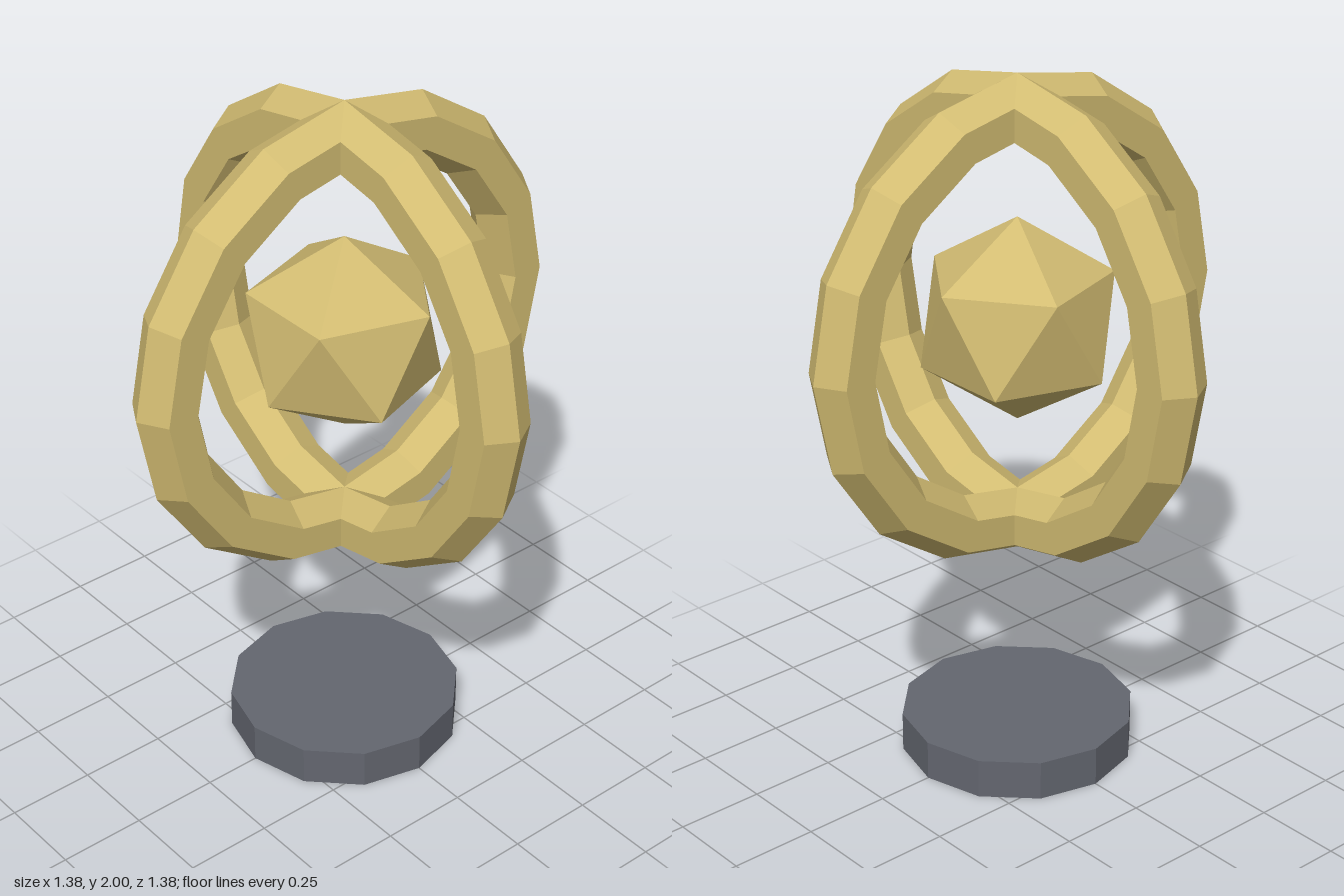
import * as THREE from 'three';

const CENTER_Y = 1.311;

export function createModel() {
  const gold = new THREE.MeshStandardMaterial({ color: 0xd2bc72 });
  gold.name = 'gold';
  const slate = new THREE.MeshStandardMaterial({ color: 0x63666f });
  slate.name = 'slate grey';

  const model = new THREE.Group();
  model.name = 'floatingOrb';

  const add = (name, geometry, material, y) => {
    // Unshared vertices give each facet its own flat normal
    const flat = geometry.index ? geometry.toNonIndexed() : geometry;
    flat.computeVertexNormals();
    const mesh = new THREE.Mesh(flat, material);
    mesh.name = name;
    mesh.position.y = y;
    model.add(mesh);
    return mesh;
  };

  // Twelve-sided base disc
  add('base', new THREE.CylinderGeometry(0.335, 0.335, 0.115, 12), slate, 0.0575);

  // Two crossed upright rings with hexagonal section
  ['frontRing', 'sideRing'].forEach((name, i) => {
    const ring = add(name, new THREE.TorusGeometry(0.597, 0.092, 6, 16), gold, CENTER_Y);
    ring.rotation.y = i * Math.PI / 2;
  });

  // Core icosahedron, turned to stand on a vertex with an upper corner toward +x
  const golden = (1 + Math.sqrt(5)) / 2;
  const core = new THREE.IcosahedronGeometry(0.294, 0)
    .rotateX(-Math.atan(golden))
    .rotateY(Math.PI / 2);
  add('core', core, gold, CENTER_Y);

  return model;
}
